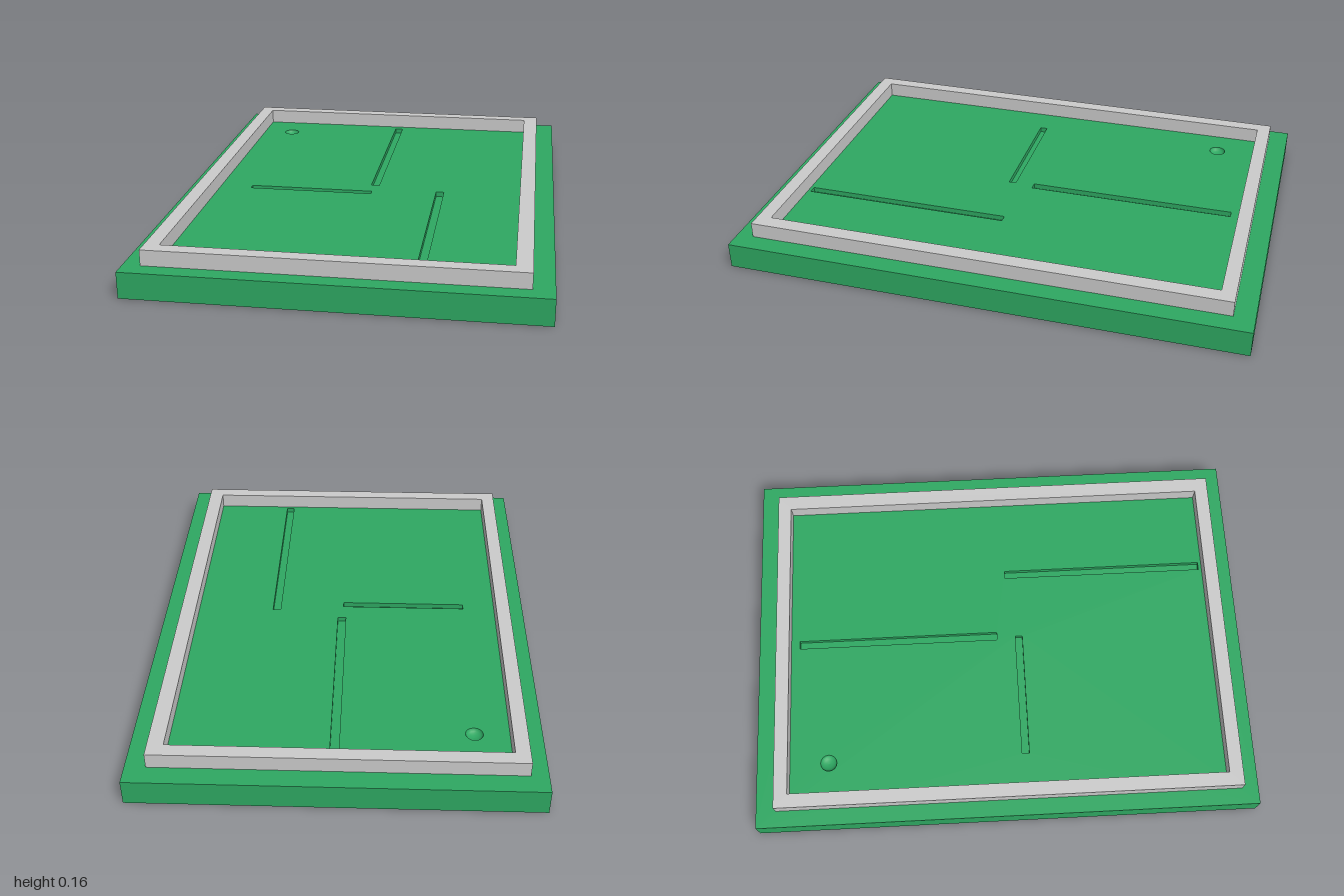
import * as THREE from 'three';

const grey = new THREE.MeshStandardMaterial({ color: 0xcccccc });
const green = new THREE.MeshStandardMaterial({ color: 0x2ea862 });
const greenOpen = new THREE.MeshStandardMaterial({ color: 0x2ea862, side: THREE.DoubleSide });

// Rectangle seen from above, as [x0, z0, x1, z1]
function rect([x0, z0, x1, z1], Type = THREE.Shape) {
  return new Type([[x0, z0], [x1, z0], [x1, z1], [x0, z1]].map(([x, z]) => new THREE.Vector2(x, z)));
}

// Flat slab between two heights, extruded downwards from its top
function slab(name, shape, bottom, top, material) {
  const geometry = new THREE.ExtrudeGeometry(shape, { depth: top - bottom, bevelEnabled: false, curveSegments: 8 });
  geometry.rotateX(Math.PI / 2);
  geometry.translate(0, top, 0);
  const mesh = new THREE.Mesh(geometry, material);
  mesh.name = name;
  return mesh;
}

export function createModel() {
  const group = new THREE.Group();
  group.name = 'boardWithFrame';

  const outline = [-0.75, -1, 0.75, 1];
  const floor = 0.08, top = 0.1;

  // Solid lower part of the board
  group.add(slab('boardBase', rect(outline), 0, floor, green));

  // Playing surface with three shallow grooves and a round cup
  const surface = rect(outline);
  const grooves = [
    [-0.007, -0.833, 0.026, -0.01],
    [-0.5, 0.067, 0.005, 0.096],
    [0.27, 0.037, 0.302, 0.867],
  ];
  grooves.forEach((groove) => surface.holes.push(rect(groove, THREE.Path)));
  const cup = { x: -0.5, z: -0.712, r: 0.033 };
  surface.holes.push(new THREE.Path().absarc(cup.x, cup.z, cup.r, 0, Math.PI * 2, true));
  group.add(slab('boardSurface', surface, floor, top, green));

  // Rounded dish inside the cup
  const profile = [];
  for (let i = 0; i <= 5; i++) {
    const a = (i / 5) * Math.PI / 2;
    profile.push(new THREE.Vector2(cup.r * Math.sin(a), top - (top - floor - 0.001) * Math.cos(a)));
  }
  const dish = new THREE.Mesh(new THREE.LatheGeometry(profile, 16), greenOpen);
  dish.name = 'cupDish';
  dish.position.set(cup.x, 0, cup.z);
  group.add(dish);

  // Raised border frame
  const border = rect([-0.685, -0.922, 0.673, 0.935]);
  border.holes.push(rect([-0.63, -0.868, 0.613, 0.88], THREE.Path));
  group.add(slab('borderFrame', border, top, 0.16, grey));

  return group;
}
